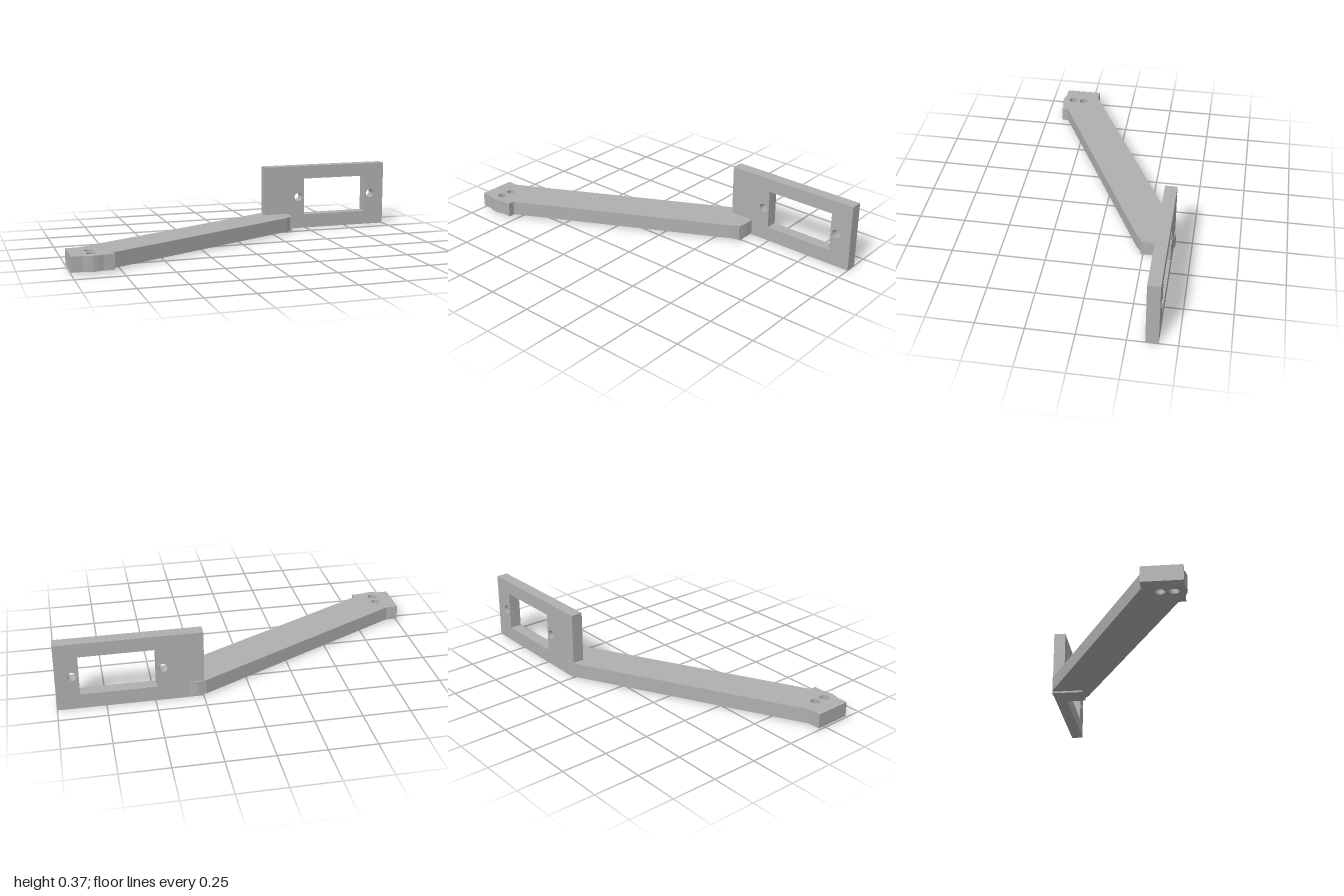
import * as THREE from 'three';

const HOLE_R = 0.024;

function circleHole(x, y) {
  const p = new THREE.Path();
  p.absarc(x, y, HOLE_R, 0, Math.PI * 2, true);
  return p;
}

function slab(points, holes, depth) {
  const shape = new THREE.Shape(points.map(([x, y]) => new THREE.Vector2(x, y)));
  shape.holes.push(...holes);
  return new THREE.ExtrudeGeometry(shape, { depth, bevelEnabled: false, curveSegments: 16 });
}

export function createModel() {
  const group = new THREE.Group();
  const grey = new THREE.MeshStandardMaterial({ color: 0xb0b0b0 });
  grey.name = 'plain grey';

  function add(geometry, name) {
    const mesh = new THREE.Mesh(geometry, grey);
    mesh.name = name;
    group.add(mesh);
  }

  // Slanting arm with mounting pad and rounded tip, outlined as [x, z]
  const outline = [
    [-1, 0.4], [-0.94, 0.4], [-0.918, 0.408], [-0.893, 0.412], [-0.868, 0.408], [-0.84, 0.4],
    [-0.785, 0.4], [-0.785, 0.365],
    [0.335, -0.212], [0.365, -0.235], [0.378, -0.25], [0.385, -0.29], [0.385, -0.335],
    [0.365, -0.37], [0.34, -0.397], [0.31, -0.41], [0.28, -0.413], [0.235, -0.405],
    [-0.935, 0.2], [-1, 0.2],
  ];
  const arm = slab(
    outline.map(([x, z]) => [x, -z]),
    [circleHole(-0.893, -0.285), circleHole(-0.893, -0.35)],
    0.08
  );
  arm.rotateX(-Math.PI / 2).translate(0, 0.01, 0);
  add(arm, 'arm');

  // Upright plate with rectangular window and two screw holes
  const windowHole = new THREE.Path(
    [[0.49, 0.08], [0.49, 0.295], [0.88, 0.295], [0.88, 0.08]].map(([x, y]) => new THREE.Vector2(x, y))
  );
  const plate = slab(
    [[0.247, 0], [1, 0], [1, 0.37], [0.247, 0.37]],
    [windowHole, circleHole(0.455, 0.187), circleHole(0.915, 0.187)],
    0.065
  );
  plate.translate(0, 0, -0.405);
  add(plate, 'mountingPlate');

  // Small foot block joining arm and plate
  const foot = new THREE.BoxGeometry(0.13, 0.089, 0.105);
  foot.translate(0.312, 0.0445, -0.2885);
  add(foot, 'jointBlock');

  return group;
}
